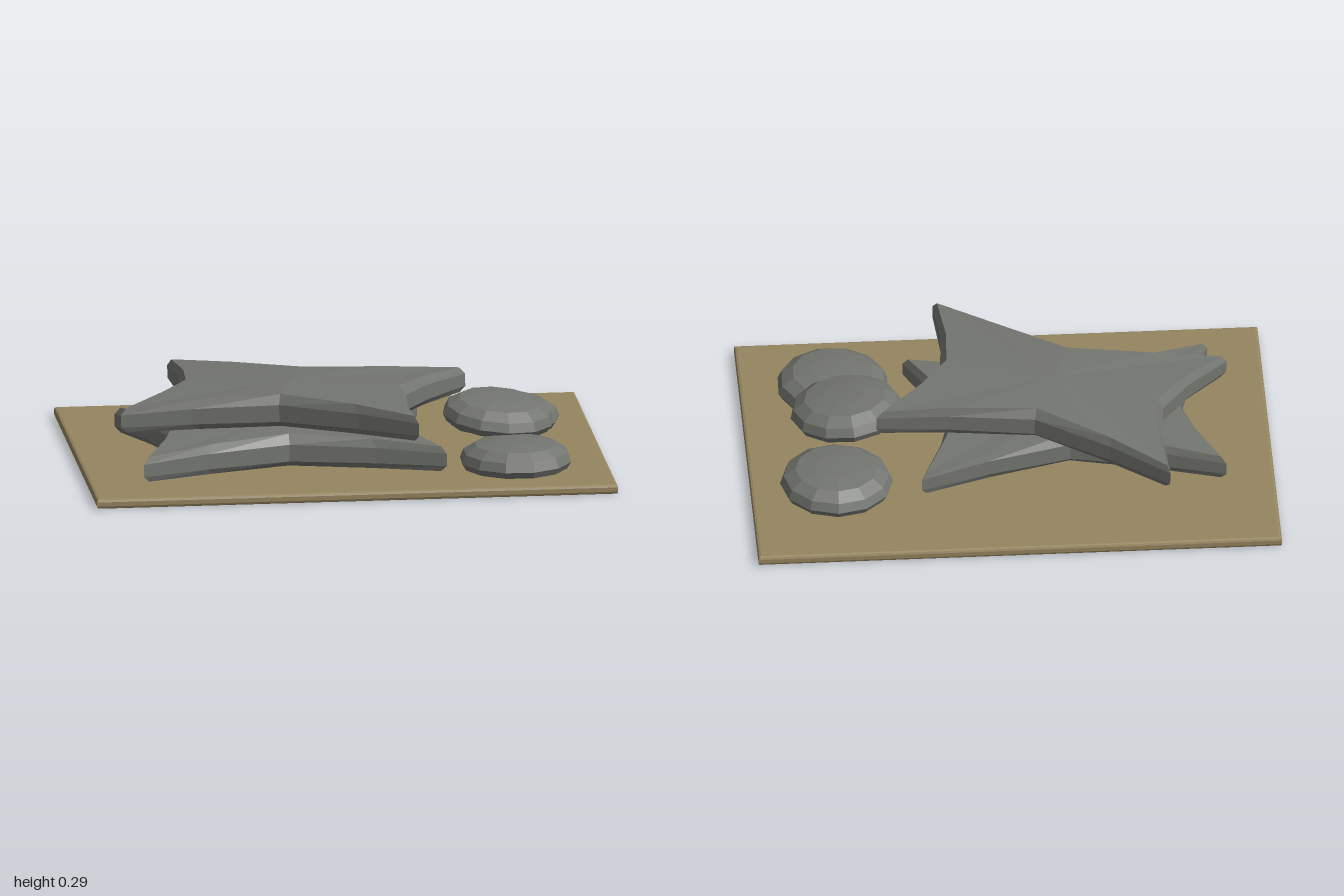
import * as THREE from 'three';

const tan = new THREE.MeshStandardMaterial({ color: 0x968660, flatShading: true });
const grey = new THREE.MeshStandardMaterial({ color: 0x737570, flatShading: true });

// Quarter outline of the four-pointed slab, from side waist to end waist
const quarter = [[0.41, 0], [0.454, 0.165], [0.54, 0.364], [0.3, 0.288], [0, 0.218]];

function outline() {
  const q = quarter;
  const mirror = (list, sx, sz) => list.map(([x, z]) => [x * sx, z * sz]);
  return [
    ...mirror(q, 1, -1),
    ...mirror(q.slice(0, 4).reverse(), -1, -1),
    ...mirror(q.slice(1), -1, 1),
    ...mirror(q.slice(1, 4).reverse(), 1, 1),
  ];
}

// Stacked cross-sections: bevelled rim, gently domed top, flat base
function slabGeometry() {
  const pts = outline();
  const n = pts.length;
  const layers = [[0, 0.022, 0], [0.02, 0, 0], [0.065, 0, 0.6], [0.09, 0.022, 1]];
  const pos = [];
  const index = [];
  for (const [y, inset, dome] of layers) {
    for (const [x, z] of pts) {
      const r = Math.hypot(x, z);
      const k = (r - inset) / r;
      pos.push(x * k, y + dome * 0.03 * Math.max(0, 1 - (r / 0.65) ** 2), z * k);
    }
  }
  const bottom = pos.length / 3;
  pos.push(0, 0, 0, 0, 0.122, 0);
  const last = (layers.length - 1) * n;
  for (let i = 0; i < n; i++) {
    const j = (i + 1) % n;
    for (let k = 0; k < last; k += n) {
      index.push(k + i, k + j, k + n + j, k + i, k + n + j, k + n + i);
    }
    index.push(j, i, bottom, last + i, last + j, bottom + 1);
  }
  const g = new THREE.BufferGeometry();
  g.setAttribute('position', new THREE.Float32BufferAttribute(pos, 3));
  g.setIndex(index);
  g.computeVertexNormals();
  return g;
}

// Thin board with a bevelled rim
function boardGeometry(w, d, h, b) {
  const x = w / 2 - b, z = d / 2 - b;
  const shape = new THREE.Shape([[-x, -z], [x, -z], [x, z], [-x, z]].map(p => new THREE.Vector2(...p)));
  const g = new THREE.ExtrudeGeometry(shape, {
    depth: h - 2 * b, bevelSize: b, bevelThickness: b, bevelSegments: 2,
  });
  return g.translate(0, 0, b).rotateX(-Math.PI / 2);
}

export function createModel() {
  const group = new THREE.Group();
  const add = (name, geometry, material, position, rotation) => {
    const mesh = new THREE.Mesh(geometry, material);
    mesh.name = name;
    mesh.position.set(...position);
    mesh.rotation.set(...rotation);
    group.add(mesh);
  };

  add('board', boardGeometry(1.853, 1.325, 0.035, 0.01), tan, [0, 0, 0], [0, 0.119, 0]);

  // Two crossed slabs, the upper one leaning slightly
  const slab = slabGeometry();
  add('lowerSlab', slab, grey, [-0.195, 0.036, 0.09], [0, 0.147, 0]);
  add('upperSlab', slab, grey, [-0.15, 0.168, 0.045], [0, -0.223, 0.03]);

  // Flattened domes, closed underneath
  const profile = [[0, 0], [0.185, 0], [0.2, 0.025], [0.187, 0.057], [0.145, 0.084], [0.075, 0.094], [0, 0.097]];
  const dome = new THREE.LatheGeometry(profile.map(p => new THREE.Vector2(...p)), 12);
  add('backDome', dome, grey, [0.59, 0.034, -0.315], [0, 0.1, 0]);
  add('frontDome', dome, grey, [0.635, 0.034, 0.285], [0, 0.35, 0]);
  add('middleDome', dome, grey, [0.57, 0.122, 0.005], [0.08, 0.2, -0.1]);

  return group;
}
